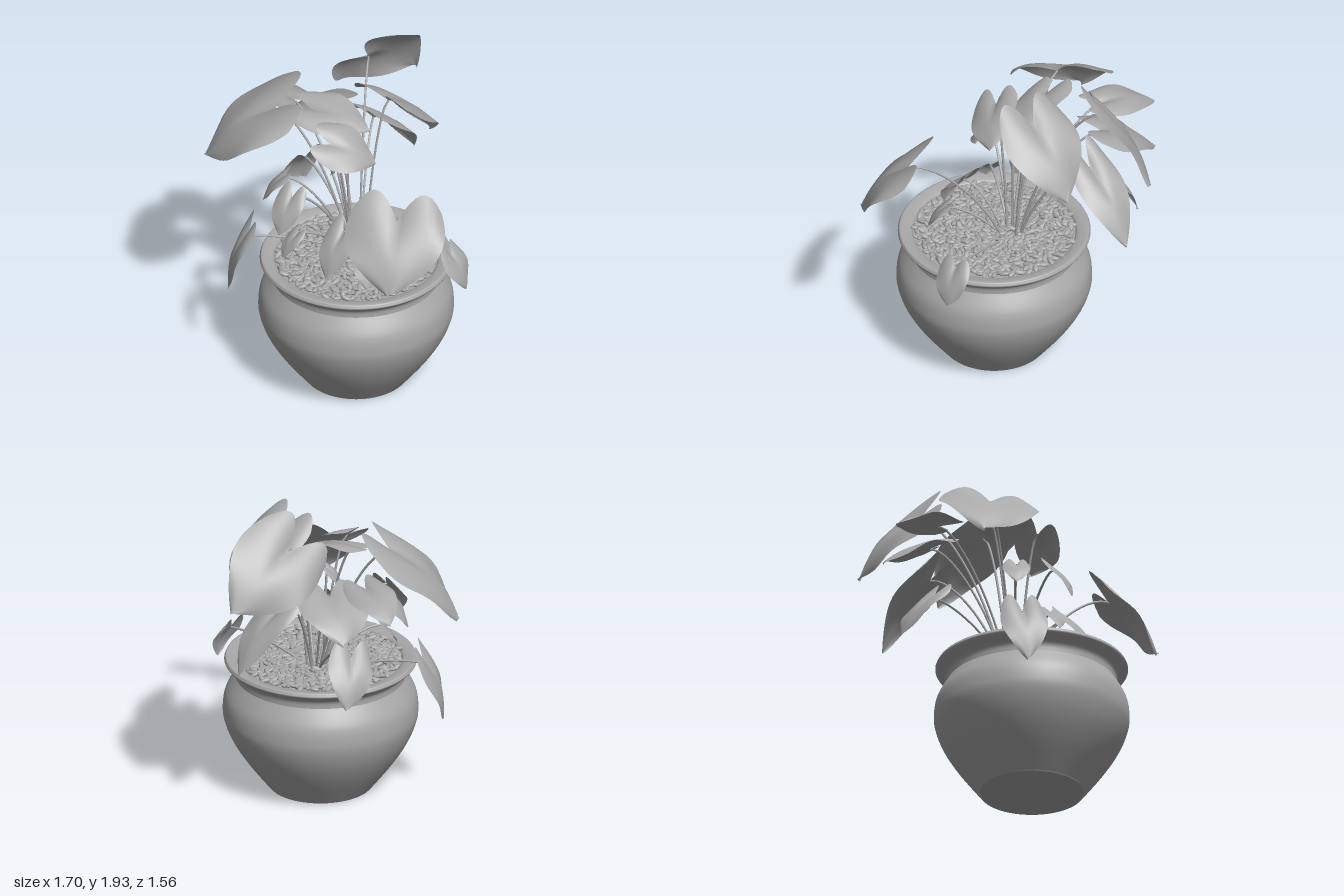
import * as THREE from 'three';
import { mergeGeometries } from 'three/addons/utils/BufferGeometryUtils.js';

const POT = { x: 0.105, z: 0.22 };
const CROWN = new THREE.Vector3(0.06, 0.76, 0.13);
const UP = new THREE.Vector3(0, 1, 0);

// Small seeded generator
let seed = 7;
function rand() {
  seed = (seed * 16807) % 2147483647;
  return seed / 2147483647;
}

// Main leaves: notch where the stalk joins, tip, half-width, roll about the midrib
const LEAVES = [
  ['tallBackLeaf', [-0.2, 1.73, -0.35], [-0.16, 1.46, -0.77], 0.27, -0.9],
  ['topCentreLeaf', [0.11, 1.68, -0.1], [0.17, 1.34, -0.43], 0.24, 0],
  ['largeRightLeaf', [-0.44, 1.61, 0.25], [-0.81, 1.25, 0.42], 0.3, -0.2],
  ['largeLeftLeaf', [0.56, 1.33, 0.47], [0.67, 0.99, 0.73], 0.3, -0.03],
  ['upperFrontLeaf', [-0.01, 1.56, 0.32], [0.2, 1.42, 0.16], 0.16, 0.55],
  ['upperMiddleLeaf', [-0.25, 1.61, 0.14], [0.08, 1.54, 0.05], 0.16, 0.3],
  ['backRightLeaf', [-0.37, 1.44, -0.18], [-0.64, 1.27, -0.34], 0.21, -0.1],
  ['backLowLeaf', [-0.14, 1.36, -0.31], [-0.09, 1, -0.65], 0.15, 0],
  ['farRightLeaf', [-0.52, 1.49, -0.04], [-0.83, 1.4, -0.15], 0.14, 0.1],
  ['hangingFrontLeaf', [-0.47, 0.85, 0.48], [-0.55, 0.5, 0.56], 0.14, 0.15],
  ['hangingBackLeaf', [-0.47, 1.07, -0.11], [-0.58, 0.82, -0.26], 0.14, -0.5],
  ['rimLeaf', [0.63, 0.87, 0.02], [0.72, 0.67, 0], 0.11, 0.1],
  ['frontHeartLeaf', [-0.15, 1.24, 0.5], [-0.15, 1.05, 0.63], 0.1, 0],
  ['lowFrontLeaf', [0.15, 1.06, 0.42], [0.14, 0.83, 0.58], 0.11, 0],
];

// Young leaves: notch and length; each hangs outward from the crown
const YOUNG = [
  [-0.31, 1.24, 0.35, 0.2], [0, 1.39, 0.17, 0.15], [0.3, 0.94, 0.42, 0.17], [-0.13, 0.98, 0.48, 0.16],
];

// Heart-shaped blade, arched along its length with drooping, rippled edges
function leafGeometry(notch, tip, wid, roll) {
  const ROWS = 14, COLS = 16;
  const along = tip.clone().sub(notch);
  const len = along.length();
  const axis = along.clone().normalize();
  const side = axis.clone().cross(UP).normalize().applyAxisAngle(axis, roll);
  const normal = side.clone().cross(axis);
  const pos = [], index = [];
  for (let i = 0; i <= ROWS; i++) {
    const t = i / ROWS;
    const w = 0.82 * (1 - t ** 1.8) + 0.3 * Math.sin(Math.PI * t);
    for (let j = 0; j <= COLS; j++) {
      const s = (j / COLS) * 2 - 1, e = Math.abs(s);
      const a = t - 0.37 * (1 - t) ** 2 * Math.sin(0.85 * Math.PI * e);
      const lift = len * 0.12 * Math.sin(Math.PI * t)
        + wid * (0.1 * e * (1 - t) - 0.2 * s * s * w + 0.05 * s * s * Math.sin(9 * t + 2 * s));
      const p = notch.clone().addScaledVector(along, a)
        .addScaledVector(side, s * w * wid).addScaledVector(normal, lift);
      pos.push(p.x, p.y, p.z);
      if (i < ROWS && j < COLS) {
        const k = i * (COLS + 1) + j, n = k + COLS + 1;
        index.push(k, k + 1, n, k + 1, n + 1, n);
      }
    }
  }
  const g = new THREE.BufferGeometry();
  g.setAttribute('position', new THREE.Float32BufferAttribute(pos, 3));
  g.setIndex(index);
  g.computeVertexNormals();
  return g;
}

// Horizontal direction from the crown to a point
const outward = (p) => p.clone().sub(CROWN).setY(0).normalize();

// Stalk rising from the crown and bending over to the notch
function stalkGeometry(notch) {
  const root = CROWN.clone().addScaledVector(outward(notch), 0.05);
  const low = root.clone().lerp(notch, 0.25).setY(root.y + (notch.y - root.y) * 0.6);
  const high = root.clone().lerp(notch, 0.75).setY(notch.y + 0.02);
  return new THREE.TubeGeometry(new THREE.CubicBezierCurve3(root, low, high, notch), 18, 0.007, 6);
}

// Layer of flattened stones spread evenly over the soil
function pebbleGeometry(radius, count) {
  const parts = [];
  const m = new THREE.Matrix4(), q = new THREE.Quaternion(), e = new THREE.Euler();
  for (let i = 0; i < count; i++) {
    const r = radius * Math.sqrt((i + 0.5) / count), a = i * 2.39996 + rand() * 0.08;
    e.set((rand() - 0.5) * 0.7, rand() * Math.PI * 2, (rand() - 0.5) * 0.7);
    const size = 0.8 + rand() * 0.4;
    m.compose(
      new THREE.Vector3(POT.x + r * Math.cos(a), 0.778 + rand() * 0.012, POT.z + r * Math.sin(a)),
      q.setFromEuler(e),
      new THREE.Vector3(0.031 * size, 0.012 * size, 0.015 * size)
    );
    parts.push(new THREE.SphereGeometry(1, 8, 6).applyMatrix4(m));
  }
  return mergeGeometries(parts);
}

// Smooth turned surface through a few profile points
function turned(points, steps) {
  const curve = new THREE.SplineCurve(points.map((p) => new THREE.Vector2(...p)));
  return new THREE.LatheGeometry(curve.getPoints(steps), 72);
}

export function createModel() {
  const model = new THREE.Group();
  model.name = 'pottedPlant';
  const grey = new THREE.MeshStandardMaterial({ color: 0xa8a8a8, side: THREE.DoubleSide });
  grey.name = 'grey';
  const add = (name, geometry, parent = model) => {
    const mesh = new THREE.Mesh(geometry, grey);
    mesh.name = name;
    parent.add(mesh);
    return mesh;
  };

  // Pot body: rounded belly from foot to neck
  const belly = [[0.305, 0.005], [0.43, 0.17], [0.51, 0.3], [0.553, 0.41],
    [0.561, 0.49], [0.545, 0.58], [0.488, 0.68]];
  add('potBody', turned(belly, 40)).position.set(POT.x, 0, POT.z);

  // Flared lip turning inward to the soil
  const lip = [[0.488, 0.68], [0.495, 0.725], [0.548, 0.77], [0.55, 0.788],
    [0.535, 0.8], [0.475, 0.785], [0.465, 0.755]];
  add('potRim', turned(lip, 32)).position.set(POT.x, 0, POT.z);

  // Flat foot and soil surface
  const base = add('potBase', new THREE.CylinderGeometry(0.306, 0.3, 0.01, 72));
  base.position.set(POT.x, 0.005, POT.z);
  const soil = add('soil', new THREE.CylinderGeometry(0.47, 0.47, 0.01, 72));
  soil.position.set(POT.x, 0.766, POT.z);
  add('pebbles', pebbleGeometry(0.455, 750));

  // Foliage: one stalk and one blade per leaf
  const addLeaf = (name, notch, tip, width, roll) => {
    const leaf = new THREE.Group();
    leaf.name = name;
    add('blade', leafGeometry(notch, tip, width, roll), leaf);
    add('stalk', stalkGeometry(notch), leaf);
    model.add(leaf);
  };
  for (const [name, notch, tip, width, roll] of LEAVES) {
    addLeaf(name, new THREE.Vector3(...notch), new THREE.Vector3(...tip), width, roll);
  }
  YOUNG.forEach(([x, y, z, size], i) => {
    const notch = new THREE.Vector3(x, y, z);
    const tip = notch.clone().addScaledVector(outward(notch), size * 0.6);
    tip.y -= size * 0.8;
    addLeaf(`youngLeaf${i + 1}`, notch, tip, size * 0.42, 0);
  });
  return model;
}
